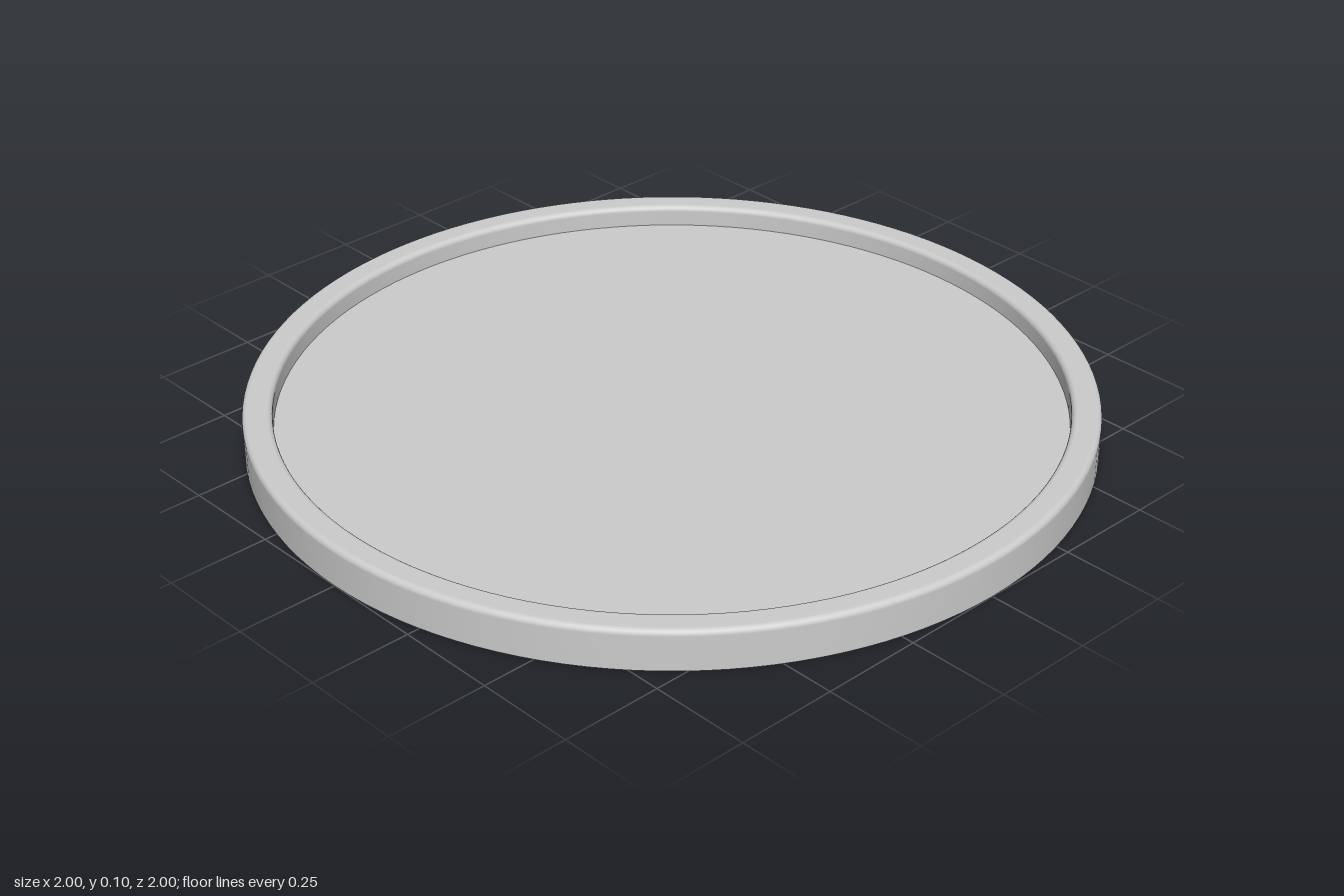
import * as THREE from 'three';

const SEGMENTS = 128;
const OUTER = 1, INNER = 0.93, HEIGHT = 0.1, FLOOR = 0.047, FILLET = 0.014;

export function createModel() {
  const group = new THREE.Group();
  group.name = 'roundTray';
  const material = new THREE.MeshStandardMaterial({ color: 0xcccccc });

  const add = (name, geometry) => {
    const mesh = new THREE.Mesh(geometry, material);
    mesh.name = name;
    group.add(mesh);
    return mesh;
  };

  // Rim: outer wall, softly rounded top and inner wall in one profile
  const profile = [new THREE.Vector2(OUTER, 0)];
  const fillet = (cx, start) => {
    for (let i = 0; i <= 6; i++) {
      const a = start + (i / 6) * Math.PI / 2;
      profile.push(new THREE.Vector2(
        cx + FILLET * Math.cos(a),
        HEIGHT - FILLET + FILLET * Math.sin(a)
      ));
    }
  };
  fillet(OUTER - FILLET, 0);
  fillet(INNER + FILLET, Math.PI / 2);
  profile.push(new THREE.Vector2(INNER, FLOOR));
  add('rim', new THREE.LatheGeometry(profile, SEGMENTS));

  // Recessed floor, facing up
  const floor = add('floor', new THREE.CircleGeometry(INNER, SEGMENTS).rotateX(-Math.PI / 2));
  floor.position.y = FLOOR;

  // Flat underside, facing down
  add('underside', new THREE.CircleGeometry(OUTER, SEGMENTS).rotateX(Math.PI / 2));

  return group;
}
